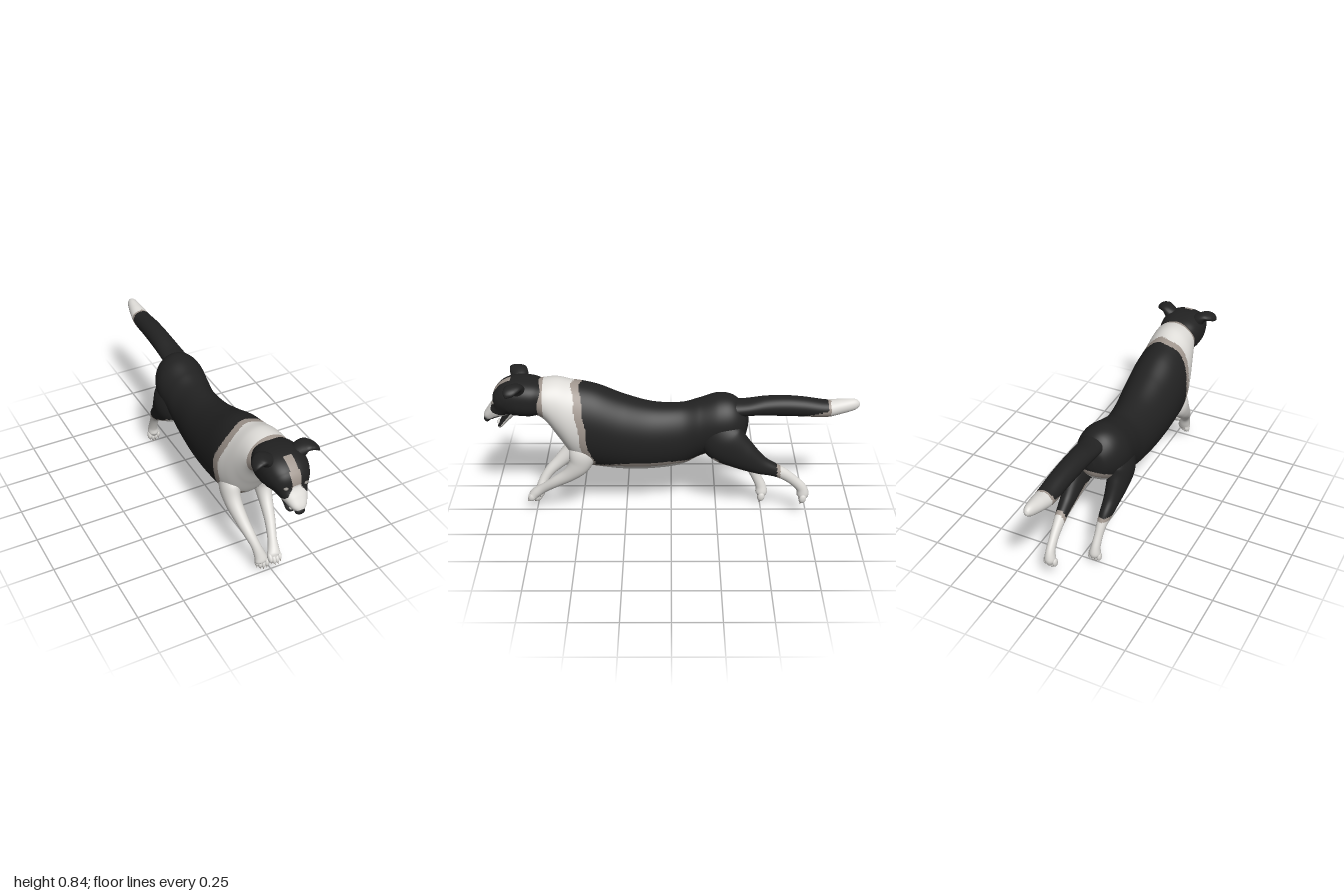
import * as THREE from 'three';

const mat = (name, color) => Object.assign(new THREE.MeshStandardMaterial({ color }), { name });

// Smooth closed loft. Rows are [x, y, z, radius across, radius up].
// paint(p, n) returns the material index of a patch; square < 1 makes sections boxier.
function loft(name, rows, mats, paint, { steps = 60, sides = 28, dir = null, ref = [1, 0, 0], square = 1 } = {}) {
  const path = new THREE.CatmullRomCurve3(rows.map(r => new THREE.Vector3(r[0], r[1], r[2])), false, 'catmullrom', 0.5);
  const size = new THREE.CatmullRomCurve3(rows.map(r => new THREE.Vector3(r[3], r[4], 0)), false, 'catmullrom', 0.5);
  const bend = v => Math.sign(v) * Math.abs(v) ** square;
  const pts = [];
  for (let i = 0; i <= steps; i++) {
    const t = i / steps, c = path.getPoint(t), s = size.getPoint(t);
    const T = dir ? new THREE.Vector3(...dir) : path.getTangent(t);
    const side = new THREE.Vector3(...ref);
    side.addScaledVector(T, -side.dot(T)).normalize();
    const up = new THREE.Vector3().crossVectors(T, side);
    for (let j = 0; j < sides; j++) {
      const a = (j / sides) * Math.PI * 2;
      pts.push(c.clone().addScaledVector(side, bend(Math.cos(a)) * s.x).addScaledVector(up, bend(Math.sin(a)) * s.y));
    }
  }
  const first = pts.push(path.getPoint(0)) - 1, last = pts.push(path.getPoint(1)) - 1;
  const buckets = mats.map(() => []);
  // A patch a-b-c-d; end caps repeat the last corner
  const patch = (a, b, c, d) => {
    const [A, Bp, C, D] = [a, b, c, d].map(k => pts[k]);
    const n = C.clone().sub(A).cross(D.clone().sub(Bp)).normalize();
    const p = A.clone().add(C).multiplyScalar(0.5);
    buckets[paint(p, n)].push(a, b, c, ...(c === d ? [] : [a, c, d]));
  };
  for (let j = 0; j < sides; j++) {
    const k = (j + 1) % sides, e = steps * sides;
    patch(first, k, j, j);
    patch(last, e + j, e + k, e + k);
    for (let i = 0; i < steps; i++) {
      const o = i * sides, q = o + sides;
      patch(o + j, o + k, q + k, q + j);
    }
  }
  const g = new THREE.BufferGeometry().setFromPoints(pts);
  g.setIndex(buckets.flat());
  let start = 0;
  buckets.forEach((b, i) => {
    if (b.length) g.addGroup(start, b.length, i);
    start += b.length;
  });
  g.computeVertexNormals();
  const mesh = new THREE.Mesh(g, mats);
  mesh.name = name;
  return mesh;
}

function ball(name, material, pos, scale) {
  const m = new THREE.Mesh(new THREE.SphereGeometry(1, 20, 14), material);
  m.name = name;
  m.position.set(...pos);
  m.scale.set(...scale);
  return m;
}

// Four toes with claws, pointing along dir
function toes(name, pos, dir, white, claw) {
  const g = new THREE.Group();
  g.name = name;
  for (let i = 0; i < 4; i++) {
    const x = (i - 1.5) * 0.017, reach = i === 1 || i === 2 ? 0.01 : 0;
    g.add(ball('toe', white, [x, 0, reach], [0.013, 0.019, 0.027]));
    const c = new THREE.Mesh(new THREE.ConeGeometry(0.004, 0.014, 8).rotateX(Math.PI / 2), claw);
    c.name = 'claw';
    c.position.set(x, 0.004, reach + 0.03);
    g.add(c);
  }
  g.position.set(...pos);
  g.lookAt(pos[0] + dir[0], pos[1] + dir[1], pos[2] + dir[2]);
  return g;
}

export function createModel() {
  const dog = new THREE.Group();
  dog.name = 'leapingDog';
  const black = mat('blackFur', 0x222222), white = mat('whiteFur', 0xdedcd8);
  const beige = mat('beigeFur', 0xa0968e), eyeGrey = mat('eyeGrey', 0x8c8882);
  const mats = [black, white, beige];
  const B = 0, W = 1, G = 2;

  // Torso and neck: black saddle, white collar, chest and belly
  dog.add(loft('torso', [
    [-0.01, 0.56, -0.412, 0.02, 0.03], [-0.01, 0.56, -0.39, 0.08, 0.09],
    [-0.015, 0.56, -0.33, 0.122, 0.145], [-0.02, 0.555, -0.25, 0.138, 0.16],
    [-0.02, 0.52, -0.15, 0.13, 0.165], [-0.02, 0.48, -0.05, 0.125, 0.18],
    [-0.018, 0.472, 0.1, 0.138, 0.193], [-0.015, 0.495, 0.25, 0.153, 0.215],
    [-0.015, 0.53, 0.38, 0.16, 0.235], [-0.015, 0.55, 0.46, 0.16, 0.237],
    [-0.01, 0.585, 0.53, 0.15, 0.217], [-0.005, 0.65, 0.6, 0.135, 0.17],
    [0, 0.703, 0.67, 0.118, 0.113], [0, 0.715, 0.74, 0.095, 0.083],
  ], mats, p => {
    const wave = 0.008 * Math.sin(p.x * 45) + 0.006 * Math.sin(p.y * 30);
    const collar = 0.42 + (p.y - 0.35) * 0.15 + wave;
    const belly = 0.362 + Math.max(0, -0.1 - p.z) * 0.5 - Math.max(0, p.z - 0.25) * 0.15;
    if (p.z > 0.705) return B;
    if (p.z > 0.672 && p.y > 0.64) return G;
    // Armpit patches
    if (p.z > 0.4 && p.y > 0.34 && p.y < 0.39 && Math.abs(Math.abs(p.x + 0.015) - 0.04) < 0.014) return G;
    if (p.z > collar + 0.04) return W;
    if (p.y < belly - 0.026 - 0.008 * Math.sin(p.z * 14)) return W;
    return p.z > collar || p.y < belly ? G : B;
  }, { steps: 160, sides: 120, dir: [0, 0, 1] }));

  // Tail with a white tip
  dog.add(loft('tail', [
    [0, 0.64, -0.31, 0.07, 0.05], [0, 0.65, -0.4, 0.066, 0.043], [0, 0.658, -0.5, 0.06, 0.052],
    [0.002, 0.66, -0.6, 0.057, 0.055], [0.005, 0.656, -0.7, 0.055, 0.053],
    [0.008, 0.647, -0.82, 0.052, 0.046], [0.01, 0.66, -0.9, 0.042, 0.04],
    [0.012, 0.672, -0.965, 0.028, 0.032], [0.012, 0.675, -0.992, 0.015, 0.018], [0.012, 0.676, -1, 0.003, 0.003],
  ], mats, (p, n) => p.z < -0.845 ? W : p.z < -0.83 + Math.max(0, 0.15 - n.y) * 0.13 ? G : B, { steps: 110, sides: 40 }));

  // Skull and muzzle with a blaze
  dog.add(loft('head', [
    [0, 0.715, 0.69, 0.105, 0.09], [0, 0.72, 0.74, 0.119, 0.1], [0, 0.723, 0.815, 0.12, 0.1],
    [0, 0.7, 0.867, 0.106, 0.09], [0, 0.662, 0.907, 0.077, 0.055], [0, 0.632, 0.945, 0.056, 0.038],
    [0, 0.607, 0.974, 0.038, 0.027], [0, 0.594, 0.988, 0.02, 0.016],
  ], mats, (p, n) => {
    const ax = Math.abs(p.x);
    if (p.z > 0.91 && n.y < -0.65) return B;
    if (p.y < 0.71 && p.z > 0.85 && ax < 0.02 + (0.705 - p.y) * 0.75) return W;
    if (p.y >= 0.705 && p.z > 0.84 && ax < 0.025) return G;
    if (p.z < 0.9 && n.y < -0.85) return ax > 0.055 ? G : W;
    return B;
  }, { steps: 110, sides: 96, square: 0.8 }));

  // Open lower jaw, teeth and nose
  dog.add(loft('lowerJaw', [
    [0, 0.65, 0.835, 0.055, 0.03], [0, 0.617, 0.862, 0.047, 0.025], [0, 0.58, 0.89, 0.037, 0.019],
    [0, 0.553, 0.91, 0.032, 0.015], [0, 0.538, 0.92, 0.02, 0.01],
  ], mats, (p, n) => n.y * 0.6 + n.z * 0.8 > 0.2 ? B : W));
  dog.add(ball('teeth', white, [0, 0.563, 0.921], [0.021, 0.018, 0.008]));
  dog.add(ball('nose', black, [0, 0.588, 0.982], [0.027, 0.019, 0.018]));

  // Eyes and folded ears
  for (const s of [1, -1]) {
    dog.add(ball('eye', eyeGrey, [s * 0.053, 0.704, 0.933], [0.013, 0.009, 0.012]));
    dog.add(loft('ear', [
      [s * 0.065, 0.765, 0.8, 0.04, 0.045], [s * 0.09, 0.797, 0.805, 0.046, 0.034],
      [s * 0.118, 0.817, 0.815, 0.046, 0.023], [s * 0.145, 0.815, 0.828, 0.038, 0.018],
      [s * 0.164, 0.804, 0.84, 0.026, 0.013], [s * 0.174, 0.79, 0.848, 0.006, 0.004],
    ], mats, () => B, { steps: 30, sides: 24, ref: [0, 0, 1] }));
  }

  // Outstretched forelegs
  dog.add(loft('leftForeleg', [
    [0.055, 0.5, 0.47, 0.03, 0.045], [0.078, 0.42, 0.475, 0.05, 0.072], [0.083, 0.345, 0.495, 0.043, 0.06],
    [0.075, 0.28, 0.55, 0.035, 0.041], [0.055, 0.22, 0.63, 0.028, 0.031], [0.03, 0.165, 0.7, 0.024, 0.026],
    [0.015, 0.13, 0.742, 0.031, 0.028], [0.008, 0.11, 0.762, 0.036, 0.026], [0.006, 0.1, 0.775, 0.02, 0.014],
  ], mats, () => W));
  dog.add(toes('leftForepaw', [0.007, 0.104, 0.768], [0, -0.75, 0.55], white, beige));
  dog.add(loft('rightForeleg', [
    [-0.085, 0.5, 0.47, 0.03, 0.045], [-0.108, 0.42, 0.487, 0.05, 0.072], [-0.112, 0.345, 0.535, 0.043, 0.055],
    [-0.1, 0.27, 0.61, 0.034, 0.039], [-0.086, 0.215, 0.67, 0.028, 0.03], [-0.07, 0.16, 0.71, 0.025, 0.026],
    [-0.055, 0.105, 0.73, 0.032, 0.028], [-0.05, 0.078, 0.739, 0.036, 0.026], [-0.048, 0.066, 0.743, 0.02, 0.014],
  ], mats, () => W));
  dog.add(toes('rightForepaw', [-0.049, 0.07, 0.741], [-0.1, -0.95, 0.2], white, beige));

  // Trailing hind legs: black outside and behind, white below the hock and underneath
  const hindPaint = (s, hock) => (p, n) => {
    const h = hock(p), shade = 0.5 * n.y - 0.85 * n.z + 0.35 * s * n.x;
    if (h < -0.02) return W;
    if (h < 0) return G;
    if (p.y > 0.4 || shade > -0.3) return B;
    return shade < -0.42 ? W : G;
  };
  dog.add(loft('leftHindLeg', [
    [0.055, 0.56, -0.23, 0.055, 0.1], [0.076, 0.48, -0.285, 0.067, 0.12], [0.085, 0.41, -0.375, 0.056, 0.09],
    [0.085, 0.347, -0.47, 0.042, 0.056], [0.08, 0.312, -0.55, 0.033, 0.038], [0.074, 0.28, -0.61, 0.027, 0.032],
    [0.069, 0.235, -0.667, 0.023, 0.028], [0.065, 0.188, -0.71, 0.024, 0.029],
    [0.062, 0.145, -0.722, 0.03, 0.033], [0.06, 0.122, -0.722, 0.02, 0.02],
  ], mats, hindPaint(1, p => p.z + 0.57), { steps: 80, sides: 48 }));
  dog.add(toes('leftHindPaw', [0.061, 0.128, -0.72], [0, -0.95, 0.15], white, beige));
  dog.add(loft('rightHindLeg', [
    [-0.085, 0.56, -0.21, 0.055, 0.1], [-0.105, 0.465, -0.24, 0.066, 0.115], [-0.11, 0.395, -0.29, 0.056, 0.085],
    [-0.105, 0.32, -0.355, 0.042, 0.054], [-0.1, 0.265, -0.415, 0.033, 0.04], [-0.094, 0.225, -0.446, 0.027, 0.031],
    [-0.09, 0.17, -0.475, 0.023, 0.027], [-0.086, 0.11, -0.502, 0.025, 0.029],
    [-0.083, 0.07, -0.508, 0.031, 0.033], [-0.082, 0.046, -0.506, 0.02, 0.02],
  ], mats, hindPaint(-1, p => p.y - 0.27), { steps: 80, sides: 48 }));
  dog.add(toes('rightHindPaw', [-0.082, 0.05, -0.506], [0, -0.97, 0.12], white, beige));

  return dog;
}
